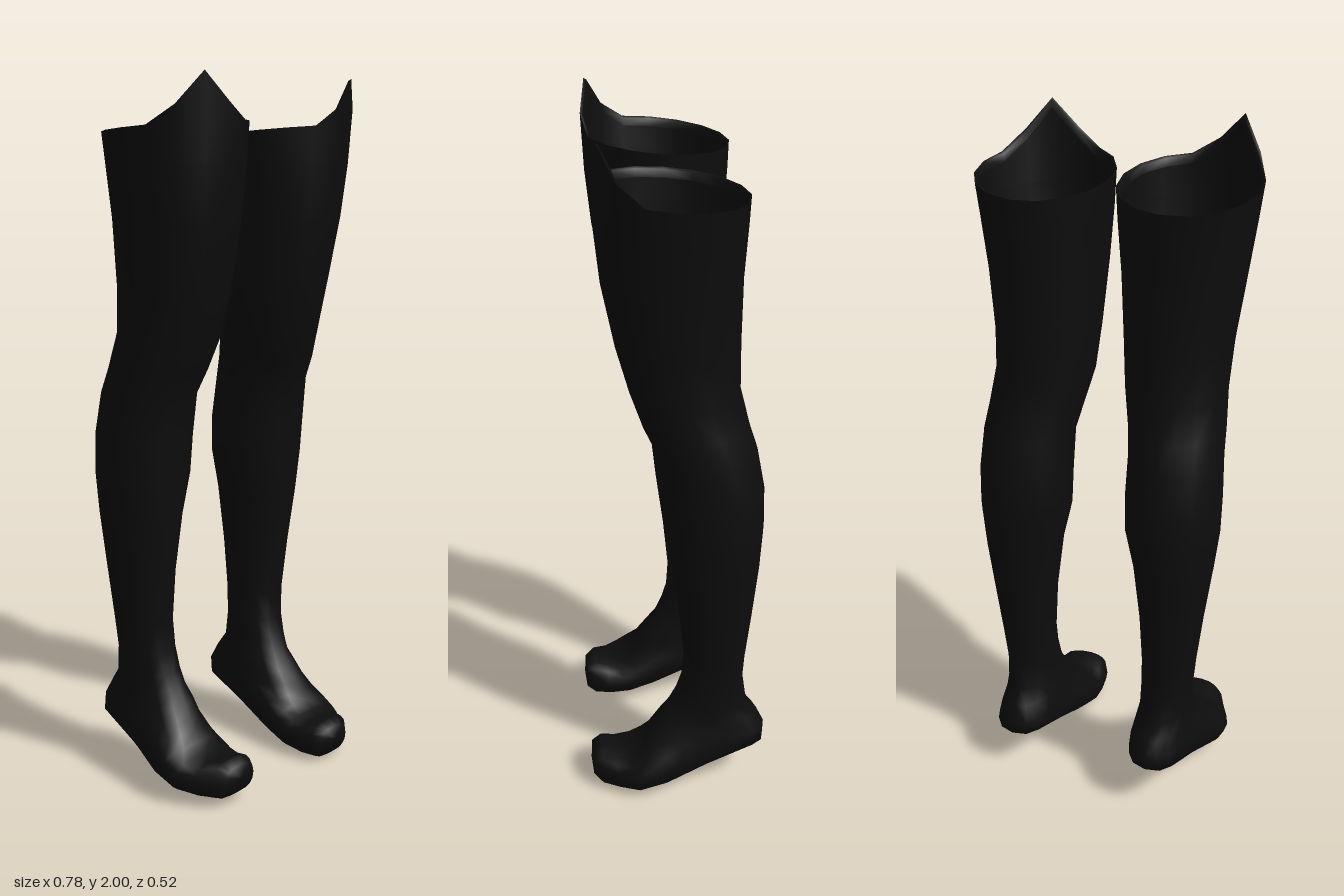
import * as THREE from 'three';

const SIDES = 16;

// Rings down the leg: front z, front y, back z, back y, inner x, outer x
const RINGS = [
  [0.215, 1.75, -0.177, 1.75, 0.025, 0.380],
  [0.200, 1.60, -0.167, 1.60, 0.037, 0.360],
  [0.165, 1.42, -0.165, 1.42, 0.050, 0.340],
  [0.130, 1.29, -0.166, 1.29, 0.060, 0.336],
  [0.095, 1.19, -0.190, 1.19, 0.082, 0.346],
  [0.062, 1.12, -0.212, 1.12, 0.095, 0.353],
  [0.046, 1.00, -0.234, 1.00, 0.095, 0.361],
  [0.035, 0.89, -0.236, 0.89, 0.097, 0.361],
  [0.022, 0.77, -0.228, 0.77, 0.125, 0.347],
  [0.000, 0.60, -0.211, 0.60, 0.145, 0.325],
  [-0.014, 0.45, -0.195, 0.45, 0.152, 0.308],
  [-0.008, 0.37, -0.190, 0.36, 0.150, 0.299],
  // instep and heel
  [0.012, 0.31, -0.202, 0.275, 0.147, 0.296],
  [0.035, 0.265, -0.235, 0.23, 0.140, 0.297],
  [0.060, 0.225, -0.258, 0.18, 0.134, 0.305],
  [0.085, 0.190, -0.256, 0.142, 0.130, 0.315],
  // sole, ball and toes
  [0.100, 0.160, -0.100, 0.085, 0.122, 0.327],
  [0.118, 0.135, 0.030, 0.032, 0.114, 0.343],
  [0.150, 0.115, 0.115, 0.006, 0.112, 0.338],
  [0.190, 0.110, 0.180, 0.001, 0.118, 0.310],
  [0.230, 0.121, 0.230, 0.003, 0.128, 0.284],
  [0.257, 0.105, 0.257, 0.025, 0.145, 0.255],
  [0.262, 0.065, 0.262, 0.065, 0.200, 0.200],
];
const FOOT_START = 14;

// One tilted oval; power below 1 makes it boxier
function ring([zf, yf, zb, yb, xi, xo], power) {
  const points = [];
  for (let i = 0; i < SIDES; i++) {
    const a = (i / SIDES) * Math.PI * 2;
    const soft = (v) => Math.sign(v) * Math.pow(Math.abs(v), power);
    const s = soft(Math.sin(a)), c = soft(Math.cos(a));
    points.push(new THREE.Vector3(
      (xi + xo) / 2 + ((xo - xi) / 2) * s,
      (yf + yb) / 2 + ((yf - yb) / 2) * c,
      (zf + zb) / 2 + ((zf - zb) / 2) * c));
  }
  return points;
}

// Top edge: rises gently to the front, with a pointed peak just outside the middle
function rim(inset, drop) {
  const points = ring([0.222 - inset, 0, -0.18 + inset, 0, 0.02 + inset, 0.392 - inset], 1);
  points.forEach((p, i) => {
    const a = (i / SIDES) * Math.PI * 2;
    let d = Math.abs(a - (Math.PI * 2) / SIDES);
    d = Math.min(d, Math.PI * 2 - d);
    p.y = 1.82 + 0.02 * (1 + Math.cos(a)) + 0.121 * Math.max(0, 1 - d / 0.62) - drop;
  });
  return points;
}

// Skin between successive rings; side -1 mirrors to the right leg
function loft(rings, side) {
  const position = [], index = [];
  rings.forEach((r) => r.forEach((p) => position.push(p.x * side, p.y, p.z)));
  for (let j = 0; j < rings.length - 1; j++) {
    for (let i = 0; i < SIDES; i++) {
      const k = (i + 1) % SIDES;
      const a = j * SIDES + i, b = a + SIDES, c = (j + 1) * SIDES + k, d = j * SIDES + k;
      if (side > 0) index.push(a, b, c, a, c, d);
      else index.push(a, c, b, a, d, c);
    }
  }
  const geometry = new THREE.BufferGeometry();
  geometry.setAttribute('position', new THREE.Float32BufferAttribute(position, 3));
  geometry.setIndex(index);
  geometry.computeVertexNormals();
  return geometry;
}

export function createModel() {
  const black = new THREE.MeshStandardMaterial({ color: 0x0d0d0d, side: THREE.DoubleSide });
  black.name = 'black fabric';
  const model = new THREE.Group();
  model.name = 'stockings';

  for (const [name, side, lift] of [['left', 1, 0], ['right', -1, 0.02]]) {
    const stocking = new THREE.Group();
    stocking.name = name + 'Stocking';
    stocking.position.y = lift;

    // Leg and foot in one continuous skin
    const body = [rim(0, 0), ...RINGS.map((r, j) => ring(r, j < FOOT_START ? 1 : 0.8))];
    const leg = new THREE.Mesh(loft(body, side), black);
    leg.name = name + 'LegAndFoot';

    // Narrow hem turned inside the opening
    const hem = new THREE.Mesh(loft([rim(0.012, 0.025), rim(0.008, 0.004), rim(0, 0)], side), black);
    hem.name = name + 'Hem';

    stocking.add(leg, hem);
    model.add(stocking);
  }
  return model;
}
